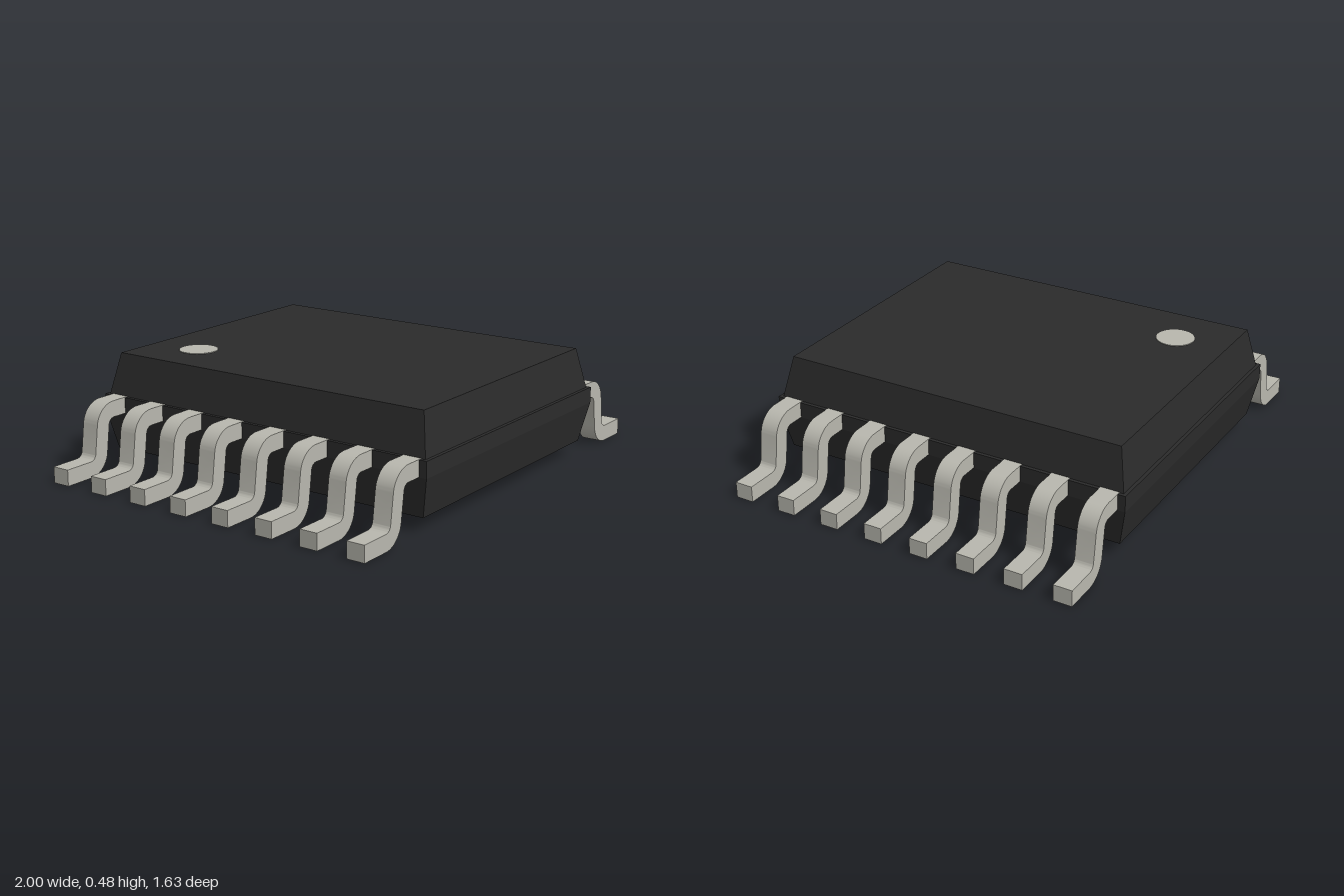
import * as THREE from 'three';
import { toCreasedNormals } from 'three/addons/utils/BufferGeometryUtils.js';

// Closed loft through rectangular sections [halfX, halfZ, y], bottom to top
function loftRectangles(sections) {
  const pos = [], index = [];
  for (const [hx, hz, y] of sections) pos.push(-hx, y, hz, hx, y, hz, hx, y, -hz, -hx, y, -hz);
  for (let s = 0; s < sections.length - 1; s++) {
    for (let i = 0; i < 4; i++) {
      const a = s * 4 + i, b = s * 4 + (i + 1) % 4;
      index.push(a, b, b + 4, a, b + 4, a + 4);
    }
  }
  const t = (sections.length - 1) * 4;
  index.push(0, 2, 1, 0, 3, 2, t, t + 1, t + 2, t, t + 2, t + 3);
  const indexed = new THREE.BufferGeometry();
  indexed.setAttribute('position', new THREE.Float32BufferAttribute(pos, 3));
  indexed.setIndex(index);
  const geometry = indexed.toNonIndexed();
  geometry.computeVertexNormals();
  return geometry;
}

// Gull-wing lead: S-shaped side outline extruded across its width
function leadGeometry(width) {
  const tilt = THREE.MathUtils.degToRad(8);
  const inner = 0.03, outer = 0.1, top = 0.301;
  const upper = [0.72, top - outer], lower = [0.865, outer];
  const s = new THREE.Shape();
  s.moveTo(0.6, top);
  s.lineTo(upper[0], top);
  s.absarc(...upper, outer, Math.PI / 2, tilt, true);
  s.absarc(...lower, inner, Math.PI + tilt, Math.PI * 1.5, false);
  s.lineTo(1, outer - inner);
  s.lineTo(1, 0);
  s.lineTo(lower[0], 0);
  s.absarc(...lower, outer, Math.PI * 1.5, Math.PI + tilt, true);
  s.absarc(...upper, inner, tilt, Math.PI / 2, false);
  s.lineTo(0.6, top - outer + inner);
  const geometry = new THREE.ExtrudeGeometry(s, { depth: width, bevelEnabled: false, curveSegments: 10 });
  geometry.translate(0, 0, -width / 2);
  return toCreasedNormals(geometry, Math.PI / 6);
}

export function createModel() {
  const plastic = new THREE.MeshStandardMaterial({ color: 0x2b2b2b });
  plastic.name = 'black plastic';
  const metal = new THREE.MeshStandardMaterial({ color: 0xb8b7ae });
  metal.name = 'tinned metal';

  const model = new THREE.Group();
  model.name = 'chipPackage';
  const add = (parent, name, geometry, material) => {
    const mesh = new THREE.Mesh(geometry, material);
    mesh.name = name;
    parent.add(mesh);
    return mesh;
  };

  // Moulded body with a wider middle band and a small ledge above it
  add(model, 'body', loftRectangles([
    [0.615, 0.78, 0.06], [0.65, 0.815, 0.23], [0.65, 0.815, 0.299],
    [0.635, 0.8, 0.299], [0.595, 0.765, 0.475],
  ]), plastic);

  // Pin-one dot on the top face
  add(model, 'pinOneMark', new THREE.CylinderGeometry(0.083, 0.083, 0.006, 40), metal)
    .position.set(-0.365, 0.475, -0.532);

  // Thermal pad underneath
  add(model, 'thermalPad', new THREE.BoxGeometry(0.765, 0.035, 1.14), metal).position.y = 0.0175;

  // Two mirrored rows of eight leads
  const lead = leadGeometry(0.08);
  for (const [name, turn] of [['leftLeads', 0], ['rightLeads', Math.PI]]) {
    const row = new THREE.Group();
    row.name = name;
    row.rotation.y = turn;
    for (let i = 0; i < 8; i++) {
      add(row, `lead${i + 1}`, lead, metal).position.z = (i - 3.5) * 0.212;
    }
    model.add(row);
  }
  return model;
}
